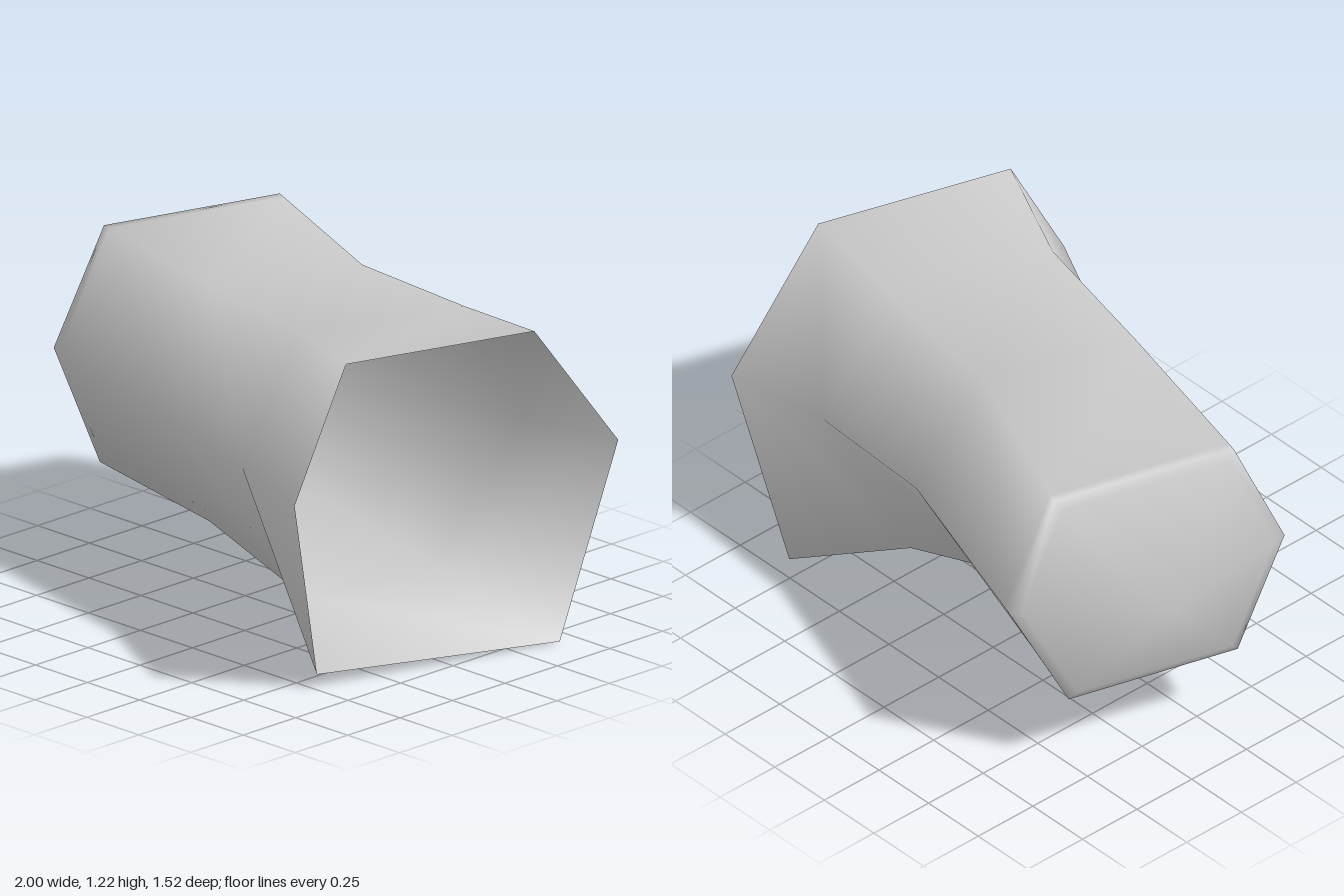
import * as THREE from 'three';

// Hexagonal cross-sections from the closed end (-x) to the open, flared end (+x).
// Corner order: top front, top back, back, bottom back, bottom front, front.
const END = [
  [-0.88, 1.185, 0.05], [-0.69, 1.185, -0.6], [-0.64, 0.765, -0.76],
  [-0.71, 0.33, -0.55], [-0.89, 0.335, 0.06], [-0.95, 0.77, 0.22],
];
const WAIST = [
  [-0.2, 1.18, 0.22], [0.0, 1.175, -0.31], [0.1, 0.75, -0.51],
  [-0.05, 0.33, -0.22], [-0.2, 0.335, 0.22], [-0.2, 0.75, 0.415],
];
const NECK = [
  [0.35, 1.185, 0.34], [0.57, 1.19, -0.23], [0.62, 0.73, -0.465],
  [0.4, 0.205, -0.265], [0.36, 0.235, 0.33], [0.28, 0.73, 0.54],
];
const MOUTH = [
  [0.76, 1.215, 0.52], [0.97, 1.215, -0.17], [1.0, 0.74, -0.54],
  [0.83, 0.0, -0.43], [0.59, 0.05, 0.49], [0.755, 0.765, 0.76],
];
const CAP_CENTRE = [-1.0, 0.745, -0.33];

const mix = (a, b, t) => a.map((v, k) => v + (b[k] - v) * t);

function sleeveGeometry() {
  // Narrow support rings either side of the closed rim keep its edge crisp
  const capInset = END.map((p) => mix(p, CAP_CENTRE, 0.08));
  const rimSupport = END.map((p, i) => mix(p, WAIST[i], 0.05));
  const rings = [capInset, END, rimSupport, WAIST, NECK, MOUTH];
  const n = 6;
  const index = [];

  // Slightly domed cap
  const centre = rings.length * n;
  for (let i = 0; i < n; i++) index.push(centre, i, (i + 1) % n);

  // Side walls
  for (let r = 0; r < rings.length - 1; r++) {
    for (let i = 0; i < n; i++) {
      const j = (i + 1) % n;
      const a = r * n + i, b = r * n + j;
      index.push(a, a + n, b, b, a + n, b + n);
    }
  }

  const geometry = new THREE.BufferGeometry();
  const points = [...rings.flat(), CAP_CENTRE].flat();
  geometry.setAttribute('position', new THREE.Float32BufferAttribute(points, 3));
  geometry.setIndex(index);
  geometry.computeVertexNormals();
  return geometry;
}

export function createModel() {
  const group = new THREE.Group();
  group.name = 'flaredSleeve';
  // Open shell, visible inside and out
  const material = new THREE.MeshStandardMaterial({ color: 0xcccccc, side: THREE.DoubleSide });
  material.name = 'light grey';
  const sleeve = new THREE.Mesh(sleeveGeometry(), material);
  sleeve.name = 'sleeve';
  group.add(sleeve);
  return group;
}
